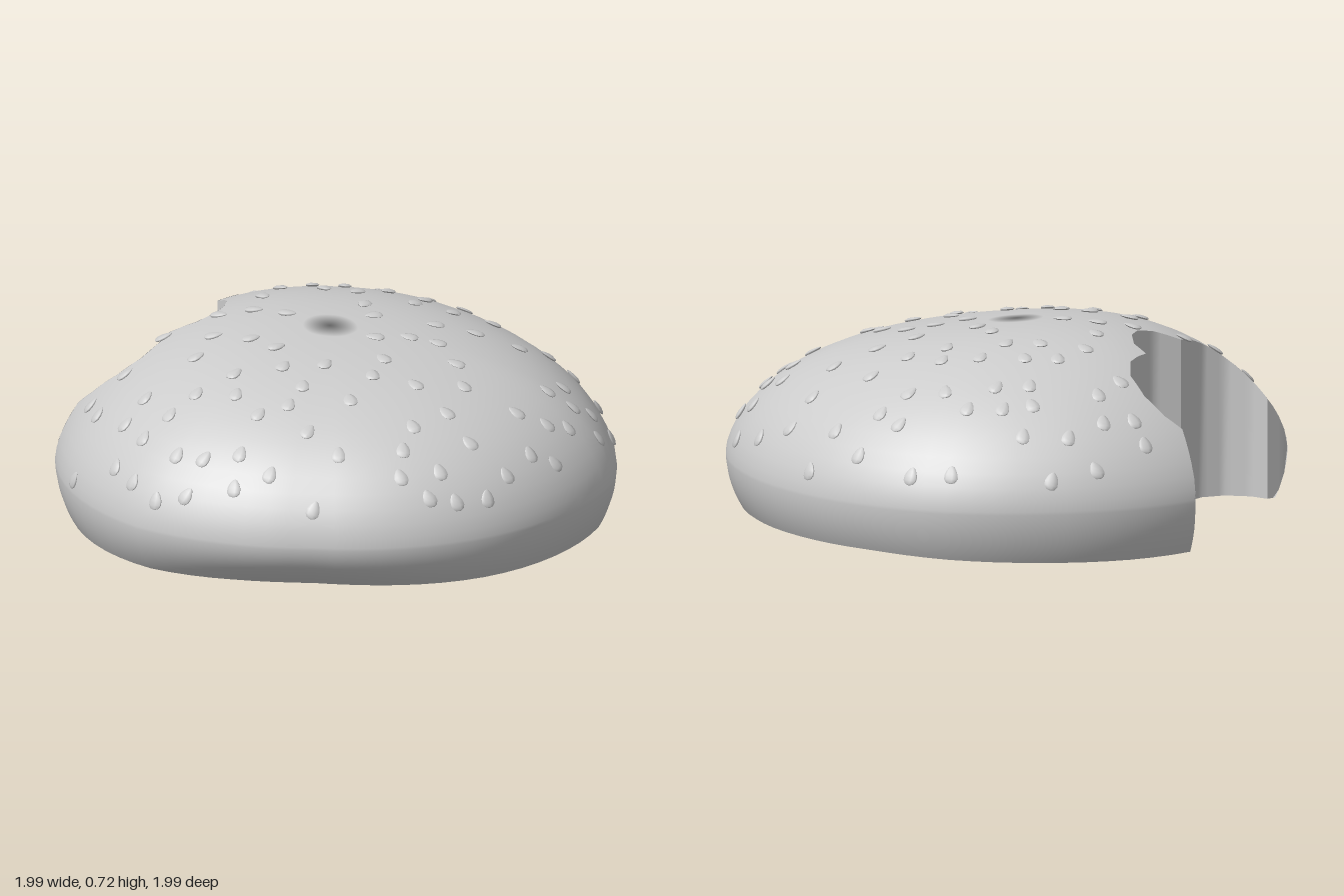
import * as THREE from 'three';
import { toCreasedNormals } from 'three/addons/utils/BufferGeometryUtils.js';

// Outline radius of the bun every 20 degrees, from +x towards +z
const RADII = [0.995, 0.967, 0.938, 0.958, 0.99, 0.985, 0.978, 0.98, 0.99,
  1.0, 0.998, 0.993, 1.005, 0.998, 1.0, 1.012, 1.038, 1.015];

// Scalloped edge of the bite (x, z), from the back end to the front end
const BITE = [[-1.03, -0.12], [-0.98, -0.09], [-0.88, -0.05], [-0.83, -0.09], [-0.75, -0.11], [-0.66, -0.09],
  [-0.6, -0.03], [-0.58, 0.03], [-0.57, 0.08], [-0.5, 0.09], [-0.43, 0.15], [-0.39, 0.22],
  [-0.39, 0.3], [-0.44, 0.39], [-0.4, 0.46], [-0.385, 0.55], [-0.42, 0.63], [-0.5, 0.685],
  [-0.57, 0.695], [-0.58, 0.8]];

const clamp = (v) => Math.min(1, Math.max(0, v));
const TAU = Math.PI * 2;

function radius(a) {
  const f = (((a / TAU) % 1 + 1) % 1) * RADII.length;
  const i = Math.floor(f);
  return THREE.MathUtils.lerp(RADII[i % 18], RADII[(i + 1) % 18], f - i);
}

// How far the underside tucks in; deepest at the front left
const tuck = (a) => 0.05 + 0.08 * Math.max(0, Math.cos(a - 0.75)) ** 6;
const base = (x, z) => 0.022 - 0.023 * clamp((-x - 0.2) / 0.7) * clamp(1 - (z + 0.1) * 2);
const domeY = (t, x) => 0.2 + 0.5 * (1 - t ** 2.5) ** 0.6 - 0.09 * x * (1 - t * t) ** 2;
const underY = (s, x, z) => THREE.MathUtils.lerp(0.2, base(x, z), clamp(s));

// Point on the bun: v 0..1 dome, 1..2 tucked side, 2..3 flat bottom
function bunPoint(a, v) {
  let t;
  if (v <= 1) t = Math.sin(v * Math.PI / 2);
  else if (v <= 2) t = 1 - tuck(a) * (v - 1) ** 2;
  else t = (1 - tuck(a)) * (3 - v);
  const r = t * radius(a), x = r * Math.cos(a), z = r * Math.sin(a);
  const y = v <= 1 ? domeY(Math.min(1, t), x) : underY(v - 1, x, z);
  return new THREE.Vector3(x, y, z);
}

// Rings of the bun between two v values, as an indexed geometry
function rings(v0, v1, rows, cols = 72) {
  const pos = [], idx = [];
  for (let j = 0; j <= rows; j++)
    for (let i = 0; i < cols; i++)
      pos.push(...bunPoint(i / cols * TAU, v0 + (v1 - v0) * j / rows).toArray());
  for (let j = 0; j < rows; j++)
    for (let i = 0; i < cols; i++) {
      const a = j * cols + i, b = j * cols + (i + 1) % cols;
      idx.push(a, b + cols, b, a, a + cols, b + cols);
    }
  const g = new THREE.BufferGeometry();
  g.setAttribute('position', new THREE.Float32BufferAttribute(pos, 3));
  g.setIndex(idx);
  g.computeVertexNormals();
  // one shared normal at the crown
  if (v0 === 0) for (let i = 0; i < cols; i++) g.attributes.normal.setXYZ(i, 0.09, 0.996, 0);
  return g;
}

// The bite area as triangles in plan
const contour = [...BITE, [-0.6, 1.2], [-1.4, 1.2], [-1.4, -0.15]].map((p) => new THREE.Vector2(...p));
const cutters = THREE.ShapeUtils.triangulateShape(contour, []).map((f) => {
  const t = f.map((i) => contour[i]);
  return THREE.ShapeUtils.area(t) < 0 ? t.reverse() : t;
});
const side = (a, b, x, z) => (b.x - a.x) * (z - a.y) - (b.y - a.y) * (x - a.x);
const inBite = (x, z) => cutters.some((t) => t.every((p, k) => side(p, t[(k + 1) % 3], x, z) > 0));

// Part of a polygon on one side of a plan line; vertices are [x,y,z,nx,ny,nz]
function clip(poly, a, b, sign) {
  const out = [];
  poly.forEach((p, i) => {
    const q = poly[(i + 1) % poly.length];
    const dp = sign * side(a, b, p[0], p[2]), dq = sign * side(a, b, q[0], q[2]);
    if (dp >= 0) out.push(p);
    if (dp * dq < 0) out.push(p.map((c, k) => c + (q[k] - c) * dp / (dp - dq)));
  });
  return out;
}

function subtract(poly, tri) {
  const pieces = [];
  let rest = poly;
  for (let k = 0; k < 3; k++) {
    const a = tri[k], b = tri[(k + 1) % 3];
    const outside = clip(rest, a, b, -1);
    rest = clip(rest, a, b, 1);
    if (rest.length < 3) return [poly];
    if (outside.length > 2) pieces.push(outside);
  }
  return pieces;
}

// Remove the bite from a geometry, keeping its smooth normals
function bitten(g) {
  const P = g.attributes.position, N = g.attributes.normal, pos = [], nor = [];
  for (let i = 0; i < g.index.count; i += 3) {
    const tri = [0, 1, 2].map((k) => {
      const n = g.index.getX(i + k);
      return [P.getX(n), P.getY(n), P.getZ(n), N.getX(n), N.getY(n), N.getZ(n)];
    });
    let polys = [tri];
    for (const c of cutters) polys = polys.flatMap((p) => subtract(p, c));
    for (const p of polys)
      for (let k = 1; k < p.length - 1; k++)
        for (const v of [p[0], p[k], p[k + 1]]) {
          pos.push(...v.slice(0, 3));
          nor.push(...v.slice(3));
        }
  }
  const out = new THREE.BufferGeometry();
  out.setAttribute('position', new THREE.Float32BufferAttribute(pos, 3));
  out.setAttribute('normal', new THREE.Float32BufferAttribute(nor, 3));
  return out;
}

// Upright wall along the bite, from the underside to the dome
function biteWall() {
  const pos = [], path = [];
  BITE.slice(0, -1).forEach((p, i) => {
    for (let k = 0; k < 4; k++) path.push([0, 1].map((c) => p[c] + (BITE[i + 1][c] - p[c]) * k / 4));
  });
  path.push(BITE[BITE.length - 1]);
  const ends = path.map(([x, z]) => {
    const a = Math.atan2(z, x), R = radius(a), t = Math.min(1, Math.hypot(x, z) / R);
    if (t === 1) { x = R * Math.cos(a); z = R * Math.sin(a); }
    return [[x, underY(Math.sqrt((1 - t) / tuck(a)), x, z), z], [x, domeY(t, x), z]];
  });
  for (let i = 0; i < ends.length - 1; i++) {
    const [a, b] = ends[i], [c, d] = ends[i + 1];
    pos.push(...a, ...c, ...d, ...a, ...d, ...b);
  }
  const g = new THREE.BufferGeometry();
  g.setAttribute('position', new THREE.Float32BufferAttribute(pos, 3));
  return toCreasedNormals(g, 0.6);
}

// Teardrop seed: flat, y is its thickness, narrow end towards -z
function seedGeometry() {
  const g = new THREE.SphereGeometry(1, 7, 6).rotateX(-Math.PI / 2);
  const p = g.attributes.position;
  for (let i = 0; i < p.count; i++) {
    const z = p.getZ(i), w = 1 + 0.3 * z;
    p.setXYZ(i, p.getX(i) * w * 0.025, p.getY(i) * w * 0.008, z * 0.034);
  }
  g.computeVertexNormals();
  return g;
}

export function createModel() {
  const model = new THREE.Group();
  const mat = new THREE.MeshStandardMaterial({ color: 0xcccccc, side: THREE.DoubleSide });
  const add = (name, geometry, parent = model) => {
    const m = new THREE.Mesh(geometry, mat);
    m.name = name;
    parent.add(m);
    return m;
  };
  add('bunCrust', bitten(rings(0, 2, 32)));
  add('bunBottom', bitten(rings(2, 3, 4)));
  add('biteWall', biteWall());

  // Seeds scattered over the dome, evenly spaced, tips towards the crown
  const seeds = new THREE.Group();
  seeds.name = 'seeds';
  model.add(seeds);
  let state = 7;
  const rand = () => (state = (state * 16807) % 2147483647) / 2147483647;
  const geo = seedGeometry(), placed = [];
  for (let tries = 0; tries < 4000 && placed.length < 108; tries++) {
    const a = rand() * TAU, v = Math.asin(0.995 * rand() ** 0.45) / (Math.PI / 2);
    const p = bunPoint(a, v);
    if (v < 0.06 || inBite(p.x, p.z) || placed.some((q) => q.distanceTo(p) < 0.1)) continue;
    placed.push(p);
    const down = bunPoint(a, v + 0.01).sub(p).normalize();
    const across = bunPoint(a + 0.02, v).sub(p);
    const normal = across.cross(down).normalize();
    if (normal.y < 0) normal.negate();
    const right = normal.clone().cross(down).normalize();
    const seed = add('seed', geo, seeds);
    seed.quaternion.setFromRotationMatrix(new THREE.Matrix4().makeBasis(right, normal, down));
    seed.rotateY((rand() - 0.5) * 0.8);
    seed.position.copy(p).addScaledVector(normal, 0.004);
  }
  return model;
}
